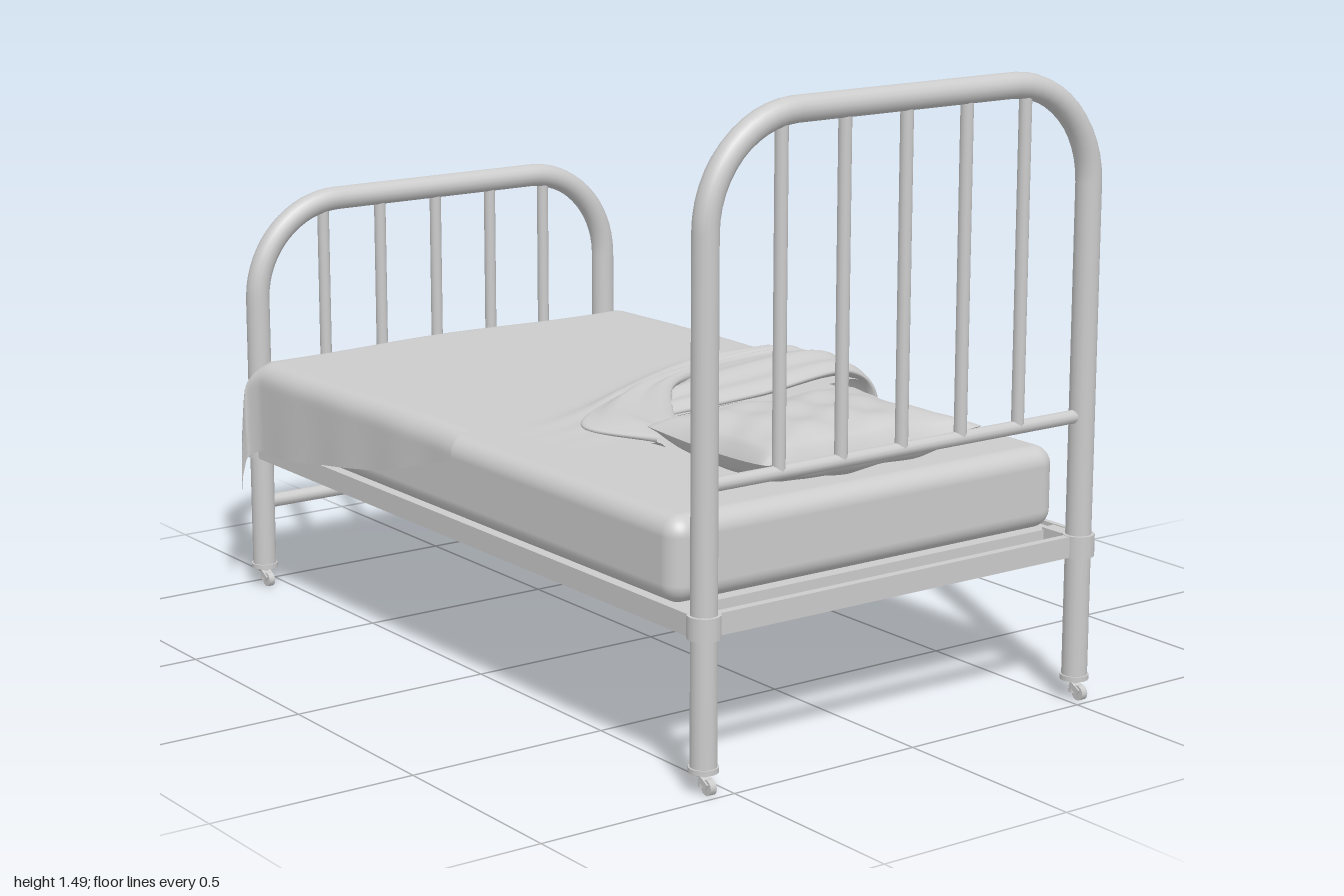
import * as THREE from 'three';
import { mergeVertices } from 'three/addons/utils/BufferGeometryUtils.js';
import { RoundedBoxGeometry } from 'three/addons/geometries/RoundedBoxGeometry.js';

const CX = -0.01, POST = 0.54; // centre line and half spacing of the posts
const metal = new THREE.MeshStandardMaterial({ color: 0xcccccc });
const cloth = new THREE.MeshStandardMaterial({ color: 0xcccccc, side: THREE.DoubleSide });
const V = (x, y, z) => new THREE.Vector3(x, y, z);
const { clamp, lerp, smoothstep } = THREE.MathUtils;

function add(parent, name, geometry, x = 0, y = 0, z = 0, material = metal) {
  const mesh = new THREE.Mesh(geometry, material);
  mesh.name = name;
  mesh.position.set(x, y, z);
  parent.add(mesh);
  return mesh;
}

// Smooth surface from a rule (u, v) -> point
function surface(fn, nu, nv) {
  const g = new THREE.PlaneGeometry(1, 1, nu, nv), p = g.attributes.position;
  for (let i = 0; i < p.count; i++) {
    const q = fn(p.getX(i) + 0.5, p.getY(i) + 0.5);
    p.setXYZ(i, q.x, q.y, q.z);
  }
  g.deleteAttribute('uv');
  g.deleteAttribute('normal');
  const welded = mergeVertices(g, 1e-5);
  welded.computeVertexNormals();
  return welded;
}

// Piecewise smooth interpolation of [key, value] pairs
function table(points, x) {
  if (x <= points[0][0]) return points[0][1];
  for (let i = 1; i < points.length; i++) {
    const [x0, y0] = points[i - 1], [x1, y1] = points[i];
    if (x <= x1) return lerp(y0, y1, (x - x0) / (x1 - x0));
  }
  return points[points.length - 1][1];
}

// Bent tube hoop with spindles and a cross rail
function endFrame(name, z, top, railY, railR) {
  const group = new THREE.Group();
  group.name = name;
  const r = 0.24, path = new THREE.CurvePath(), k = 0.552 * r, y = top - r;
  path.add(new THREE.LineCurve3(V(-POST, 0.05, 0), V(-POST, y, 0)));
  path.add(new THREE.CubicBezierCurve3(V(-POST, y, 0), V(-POST, y + k, 0), V(-POST + r - k, top, 0), V(-POST + r, top, 0)));
  path.add(new THREE.LineCurve3(V(-POST + r, top, 0), V(POST - r, top, 0)));
  path.add(new THREE.CubicBezierCurve3(V(POST - r, top, 0), V(POST - r + k, top, 0), V(POST, y + k, 0), V(POST, y, 0)));
  path.add(new THREE.LineCurve3(V(POST, y, 0), V(POST, 0.05, 0)));
  add(group, 'hoop', new THREE.TubeGeometry(path, 120, 0.03, 16));
  const rail = add(group, 'crossRail', new THREE.CylinderGeometry(railR, railR, 2 * POST, 12), 0, railY, 0);
  rail.rotation.z = Math.PI / 2;
  for (let i = -2; i <= 2; i++)
    add(group, 'spindle', new THREE.CylinderGeometry(0.015, 0.015, top - railY, 12), i * 0.171, (top + railY) / 2, 0);
  add(group, 'endRail', new THREE.BoxGeometry(2 * POST, 0.05, 0.02), 0, 0.373, 0);
  for (const s of [-1, 1]) {
    add(group, 'collar', new THREE.CylinderGeometry(0.038, 0.038, 0.052, 16), s * POST, 0.373, 0);
    add(group, 'footCap', new THREE.CylinderGeometry(0.034, 0.034, 0.012, 16), s * POST, 0.054, 0);
    add(group, 'casterStem', new THREE.CylinderGeometry(0.009, 0.012, 0.04, 10), s * POST, 0.035, 0);
    const fork = add(group, 'casterFork', new THREE.BoxGeometry(0.024, 0.014, 0.032), s * POST, 0.028, 0.012);
    fork.rotation.x = 0.5;
    const wheel = add(group, 'casterWheel', new THREE.CylinderGeometry(0.018, 0.018, 0.016, 14), s * POST, 0.018, 0.02);
    wheel.rotation.z = Math.PI / 2;
  }
  group.position.set(CX, 0, z);
  return group;
}

// Rounded bend over a mattress edge: d is the cloth length past the bend
function bend(d, r = 0.05) {
  const a = Math.min(d / r, Math.PI / 2);
  return [r * Math.sin(a), r * (1 - Math.cos(a)) + Math.max(0, d - r * Math.PI / 2)];
}

const headEdge = [[-0.6, 0.03], [-0.57, 0.13], [-0.53, 0.2], [-0.46, 0.29], [-0.4, 0.335], [-0.3, 0.375],
  [-0.19, 0.395], [-0.13, 0.28], [-0.08, 0.21], [0.1, 0.19], [0.58, 0.13]];
const leftHem = [[-0.75, 0.26], [-0.3, 0.19], [0.05, 0.09], [0.13, 0.05]];
const rightHem = [[-0.8, 0.24], [-0.5, 0.25], [-0.2, 0.29], [-0.06, 0.35], [-0.02, 0.42]];

function blanketPoint(u, v) {
  const t = clamp((u - 0.2) / 0.6, 0, 1), x0 = lerp(-0.548, 0.525, t);
  const side = u < 0.5 ? -1 : 1, a = Math.max(0, 0.2 - u, u - 0.8) / 0.2;
  const b = Math.max(0, 0.16 - v) / 0.16, f = Math.max(0, v - 0.16) / 0.84;
  const z0 = lerp(-0.88, table(headEdge, x0 + side * 0.05 * smoothstep(Math.abs(x0), 0.4, 0.55)), f);
  const da = a * table(side < 0 ? leftHem : rightHem, z0), db = b * 0.24;
  const [ox, dx] = bend(da), [oz, dz] = bend(db);
  const tail = Math.min(da, db);
  let x = x0 + side * (ox + 0.26 * tail), z = z0 - oz + 0.25 * tail;
  let y = 0.614 - Math.max(dx, dz) - 0.38 * tail;
  // Creases fanning across the top, stronger near the turned-back end
  const fan = smoothstep(x0, -0.5, 0.4), flat = 1 - b;
  for (const [zl, zr, h] of [[0.12, -0.2, 0.022], [0.2, -0.09, 0.025], [0.28, -0.02, 0.018]]) {
    const d = (z0 - lerp(zl, zr, fan)) / 0.035, bump = h * Math.exp(-d * d) * flat;
    y += bump * (1 - a) * smoothstep(x0, -0.5, 0);
    if (side > 0) x += 1.6 * bump * smoothstep(a, 0, 0.3);
  }
  y += 0.004 * Math.sin(7 * x0 + 5 * z0) * (1 - a) * flat;
  // Loose folds on the hanging parts
  x += side * 0.008 * a * Math.sin(24 * z0) * (side > 0 ? 1 : 0.3);
  z += 0.01 * b * Math.sin(17 * x0) + 0.012 * Math.sin(Math.PI * b) * -1;
  if (side > 0) x += 0.03 * a * smoothstep(z0, -0.15, 0);
  return V(x, y, z);
}

// Flattened roll of cloth between two edge curves, turning down at the bed side
function roll(edgeA, edgeB, thick, turn) {
  const A = new THREE.CatmullRomCurve3(edgeA.map(p => V(...p)));
  const B = new THREE.CatmullRomCurve3(edgeB.map(p => V(...p)));
  return surface((u, v) => {
    const w = u * 2 * Math.PI, s = (1 - Math.cos(w)) / 2;
    const p = A.getPoint(v).lerp(B.getPoint(v), s);
    const k = smoothstep(v, turn, turn + 0.2);
    const h = thick * (Math.sin(w) + 0.3 * Math.sin(4 * Math.PI * s) * Math.sign(Math.sin(w)) * Math.abs(Math.sin(w)));
    return p.add(V(k, 1 - k, 0).multiplyScalar(h));
  }, 32, 48);
}

function pillowPoint(u, v, s) {
  const a = 2 * u - 1, c = 2 * v - 1;
  const puff = Math.pow(Math.max(0, (1 - a ** 4) * (1 - c ** 4)), 0.55);
  const corner = (a * c) ** 2;
  const crease = 0.006 * Math.sin(9 * a + 3 * c) * Math.sin(7 * c - 2 * a) * puff;
  return V(a * (0.275 + 0.035 * c * c) + 0.008 * c * c, 0.65 + s * 0.065 * puff + crease + 0.02 * corner,
    c * (0.2 + 0.022 * a * a));
}

export function createModel() {
  const bed = new THREE.Group();
  bed.name = 'bed';
  bed.add(endFrame('headFrame', 0.955, 1.46, 0.68, 0.016));
  bed.add(endFrame('footFrame', -0.96, 1.0, 0.222, 0.018));

  // Side rails with angled corner brackets, and the base
  for (const s of [-1, 1]) {
    add(bed, 'sideRail', new THREE.BoxGeometry(0.014, 0.05, 1.91), CX + s * 0.558, 0.373, 0);
    add(bed, 'railLedge', new THREE.BoxGeometry(0.05, 0.01, 1.8), CX + s * 0.535, 0.353, -0.01);
    for (const z of [0.905, -0.925])
      add(bed, 'cornerBracket', new THREE.BoxGeometry(0.05, 0.046, 0.09), CX + s * 0.54, 0.373, z);
  }
  add(bed, 'base', new THREE.BoxGeometry(1.09, 0.025, 1.76), CX, 0.378, -0.015);
  add(bed, 'mattress', new RoundedBoxGeometry(1.11, 0.197, 1.75, 5, 0.045), CX, 0.488, -0.01);

  // Pillow in two mirrored halves
  const pillow = new THREE.Group();
  pillow.name = 'pillow';
  for (const s of [1, -1])
    add(pillow, s > 0 ? 'pillowTop' : 'pillowUnderside', surface((u, v) => pillowPoint(u, v, s), 32, 28), 0, 0, 0, cloth);
  pillow.position.set(-0.015, 0, 0.645);
  bed.add(pillow);

  // Blanket with its turned-back corner and hanging fold
  const blanket = new THREE.Group();
  blanket.name = 'blanket';
  add(blanket, 'blanketSheet', surface(blanketPoint, 90, 110), 0, 0, 0, cloth);
  add(blanket, 'turnedCorner', roll(
    [[-0.19, 0.625, 0.4], [-0.08, 0.635, 0.2], [0.06, 0.645, 0.03], [0.25, 0.645, -0.04], [0.5, 0.645, -0.04], [0.6, 0.59, -0.04]],
    [[-0.26, 0.62, 0.385], [-0.34, 0.625, 0.2], [-0.16, 0.635, 0.06], [0.18, 0.635, -0.08], [0.5, 0.635, -0.1], [0.6, 0.57, -0.1]],
    0.018, 0.8), 0, 0, 0, cloth);
  add(blanket, 'hangingFold', roll(
    [[-0.09, 0.62, 0.2], [0.2, 0.625, 0.18], [0.52, 0.63, 0.14], [0.6, 0.57, 0.13], [0.62, 0.4, 0.13], [0.625, 0.21, 0.135]],
    [[0.06, 0.635, 0.03], [0.22, 0.645, -0.04], [0.52, 0.645, -0.04], [0.605, 0.59, -0.04], [0.625, 0.4, -0.045], [0.63, 0.21, -0.05]],
    0.02, 0.4), 0, 0, 0, cloth);
  bed.add(blanket);
  return bed;
}
